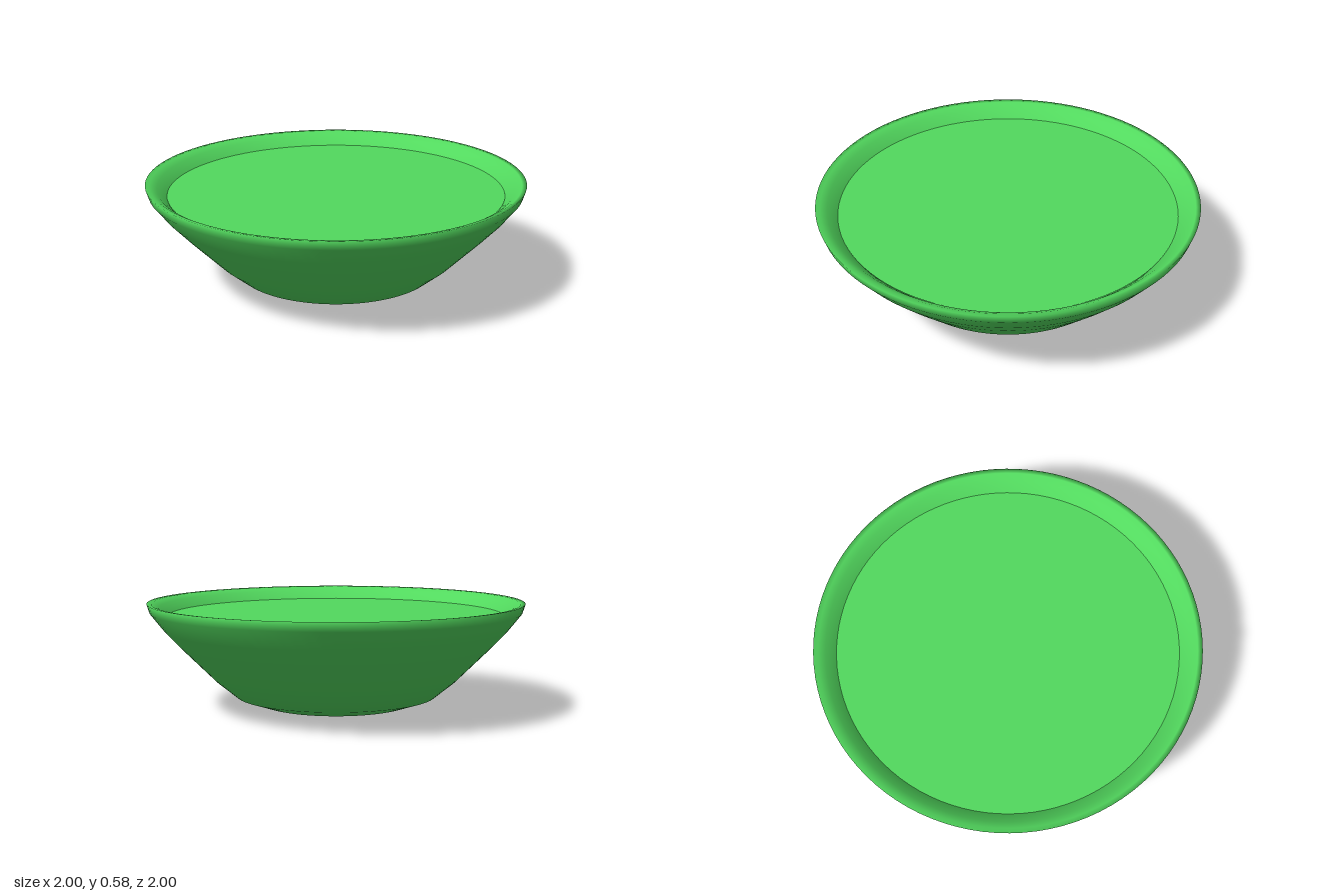
import * as THREE from 'three';

const SEGMENTS = 96;

// Turns a list of [radius, height] points into a smooth round surface
function turned(name, points, material) {
  const profile = points.map(([r, y]) => new THREE.Vector2(r, y));
  const mesh = new THREE.Mesh(new THREE.LatheGeometry(profile, SEGMENTS), material);
  mesh.name = name;
  return mesh;
}

export function createModel() {
  const group = new THREE.Group();
  group.name = 'filledBowl';
  const green = new THREE.MeshStandardMaterial({ color: 0x52d95e, side: THREE.DoubleSide });

  // Bowl shell: outside from the shallow pointed base up to the rim, then down the inside
  group.add(turned('bowl', [
    [0, 0], [0.4, 0.035], [0.535, 0.08], [0.645, 0.17], [0.735, 0.26],
    [0.82, 0.345], [0.91, 0.44], [0.985, 0.535], [1, 0.583],
    [0.975, 0.58], [0.94, 0.56], [0.888, 0.51], [0.8, 0.4],
    [0.7, 0.285], [0.6, 0.19], [0.5, 0.125], [0.38, 0.085], [0, 0.05],
  ], green));

  // Flat contents just below the rim
  const contents = new THREE.Mesh(new THREE.CircleGeometry(0.89, SEGMENTS), green);
  contents.name = 'contents';
  contents.rotation.x = -Math.PI / 2;
  contents.position.y = 0.515;
  group.add(contents);

  return group;
}
